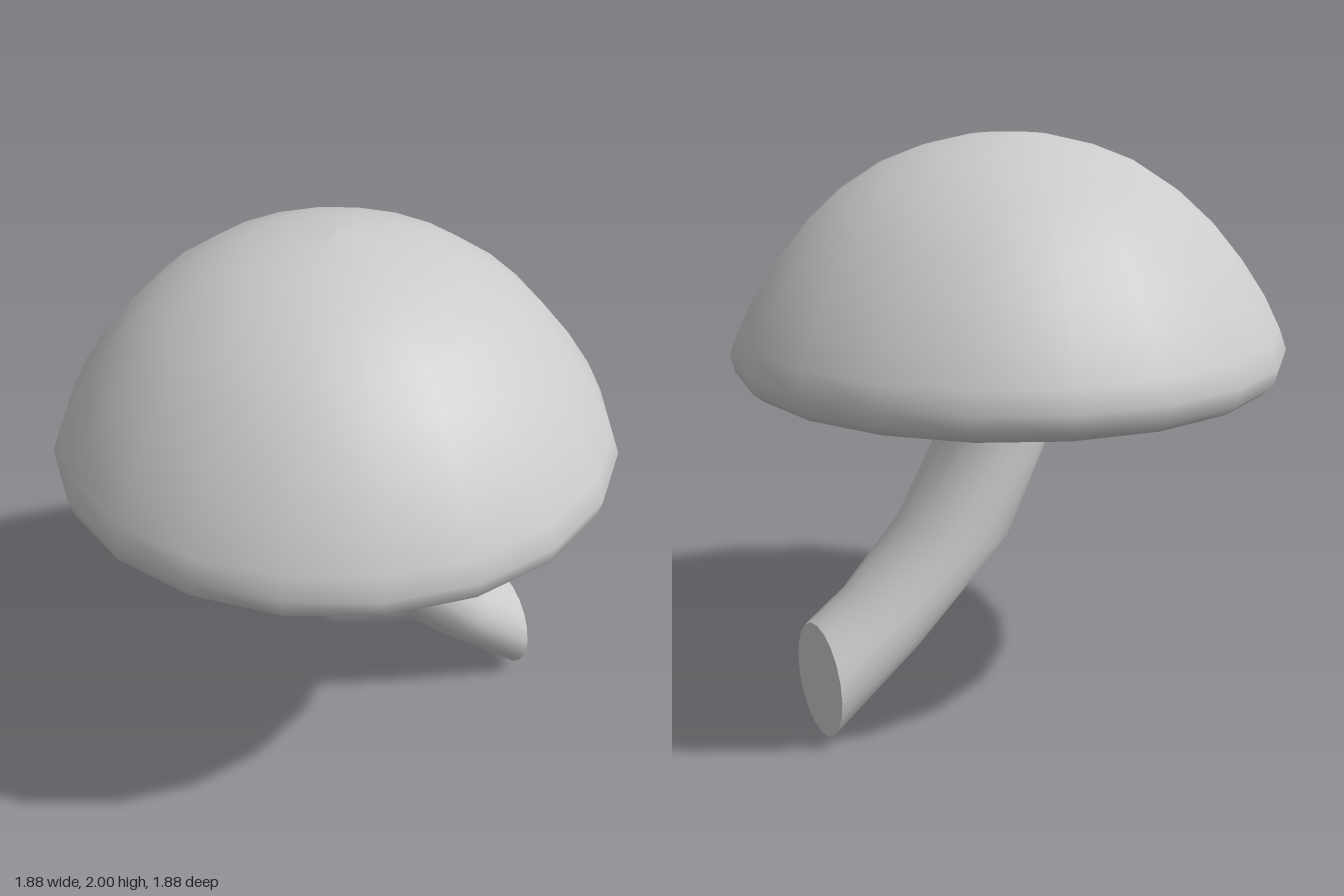
import * as THREE from 'three';
import { toCreasedNormals } from 'three/addons/utils/BufferGeometryUtils.js';

const SIDES = 20;

// Domed cap with a rolled rim and a hollowed underside, [radius, height]
function buildCap() {
  const profile = [
    [0, 1.33], [0.22, 1.31], [0.45, 1.27], [0.66, 1.22], [0.82, 1.19],
    [0.89, 1.2], [0.925, 1.23], [0.94, 1.29], [0.915, 1.36], [0.86, 1.47],
    [0.78, 1.59], [0.68, 1.71], [0.57, 1.81], [0.43, 1.9], [0.29, 1.955],
    [0.14, 1.99], [0, 2],
  ].map(([r, y]) => new THREE.Vector2(r, y));
  return new THREE.LatheGeometry(profile, SIDES);
}

// Curved stem: a cylinder whose rings are moved onto slanted cross-sections
function buildStem() {
  // left x, left y, right x, right y, half depth; from top to cut end
  const rings = [
    [-0.19, 1.4, 0.19, 1.4, 0.19],
    [-0.17, 1.19, 0.21, 1.19, 0.2],
    [-0.14, 1.01, 0.23, 1.02, 0.205],
    [0.03, 0.64, 0.41, 0.7, 0.21],
    [0.4, 0.28, 0.61, 0.485, 0.2],
    [0.74, 0, 0.74, 0.395, 0.195],
  ];
  const steps = rings.length - 1;
  const geometry = new THREE.CylinderGeometry(1, 1, 1, SIDES, steps);
  const pos = geometry.attributes.position;
  for (let i = 0; i < pos.count; i++) {
    const [lx, ly, rx, ry, depth] = rings[Math.round((0.5 - pos.getY(i)) * steps)];
    const t = (pos.getX(i) + 1) / 2;
    pos.setXYZ(i, lx + (rx - lx) * t, ly + (ry - ly) * t, pos.getZ(i) * depth);
  }
  return toCreasedNormals(geometry, 0.75);
}

export function createModel() {
  const group = new THREE.Group();
  group.name = 'mushroom';
  const material = new THREE.MeshStandardMaterial({ color: 0xcccccc });
  const parts = { cap: buildCap(), stem: buildStem() };
  for (const [name, geometry] of Object.entries(parts)) {
    const mesh = new THREE.Mesh(geometry, material);
    mesh.name = name;
    group.add(mesh);
  }
  return group;
}
